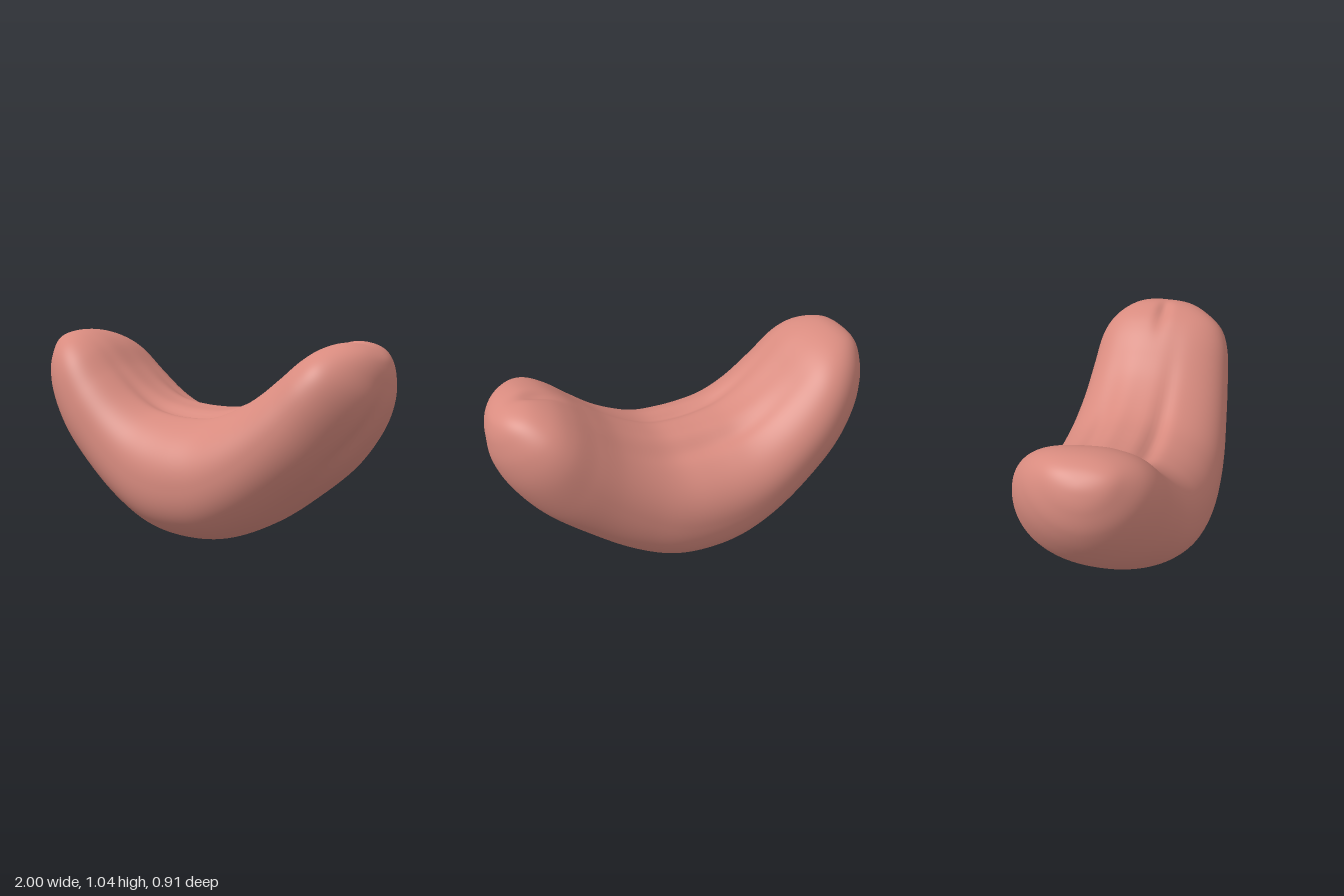
import * as THREE from 'three';
import { mergeVertices } from 'three/addons/utils/BufferGeometryUtils.js';

// Cross-sections from end to end: outer x, outer y, inner x, inner y, front width, back width
const STATIONS = [
  [-0.955, 0.992, -0.955, 0.992, 0, 0],
  [-0.985, 0.94, -0.9, 1.032, 0.11, 0.115],
  [-1.0, 0.86, -0.82, 1.047, 0.185, 0.205],
  [-0.99, 0.74, -0.72, 1.027, 0.265, 0.3],
  [-0.925, 0.595, -0.62, 0.972, 0.32, 0.375],
  [-0.8, 0.43, -0.5, 0.86, 0.355, 0.42],
  [-0.6, 0.255, -0.37, 0.757, 0.38, 0.44],
  [-0.4, 0.12, -0.25, 0.695, 0.405, 0.452],
  [-0.2, 0.03, -0.13, 0.67, 0.43, 0.455],
  [0, 0.002, 0, 0.662, 0.447, 0.45],
  [0.2, 0.022, 0.13, 0.672, 0.45, 0.435],
  [0.4, 0.11, 0.25, 0.715, 0.443, 0.41],
  [0.6, 0.25, 0.38, 0.787, 0.423, 0.385],
  [0.8, 0.42, 0.5, 0.88, 0.4, 0.365],
  [0.93, 0.595, 0.61, 0.97, 0.375, 0.342],
  [0.99, 0.74, 0.7, 1.022, 0.325, 0.29],
  [1.0, 0.86, 0.8, 1.046, 0.22, 0.205],
  [0.985, 0.94, 0.89, 1.03, 0.12, 0.115],
  [0.955, 0.988, 0.955, 0.988, 0, 0],
];

// Mirror a section through the tip so the ends close as smooth domes
const ghost = ([bx, by, tx, ty, f, b]) => [tx, ty, bx, by, -b, -f];

function sectionAt(u) {
  const last = STATIONS.length - 1;
  const i = Math.min(Math.floor(u), last - 1);
  const t = u - i;
  const p0 = i > 0 ? STATIONS[i - 1] : ghost(STATIONS[1]);
  const p1 = STATIONS[i];
  const p2 = STATIONS[i + 1];
  const p3 = i + 2 <= last ? STATIONS[i + 2] : ghost(STATIONS[last - 1]);
  return p1.map((v, k) => v + 0.5 * t * (p2[k] - p0[k]
    + t * (2 * p0[k] - 5 * v + 4 * p2[k] - p3[k]
    + t * (3 * (v - p2[k]) + p3[k] - p0[k]))));
}

const bump = (v, centre, width) => Math.exp(-(((v - centre) / width) ** 2));
const power = (v, e) => Math.sign(v) * Math.abs(v) ** e;

// Depth of the soft folds on the inner curve and on one outer end
function foldDepth(x, y, z, side) {
  if (side > 0) {
    const middle = bump(x, -0.03, 0.36);
    return side * (middle * (0.035 * bump(z, 0.115, 0.045) + 0.022 * bump(z, -0.2, 0.05))
      - middle * 0.01 * bump(z, -0.1, 0.05)
      + 0.028 * bump(x, 0.74, 0.1) * bump(z, 0.005, 0.035)
      + 0.014 * bump(x, -0.5, 0.2) * bump(z, -0.08, 0.14));
  }
  const path = 0.07 + 0.13 * Math.min(1, Math.max(0, (0.83 - y) / 0.33));
  return x > 0.3 ? -side * 0.024 * bump(y, 0.58, 0.24) * bump(z, path, 0.06) : 0;
}

function bodyGeometry(rings = 144, sides = 128) {
  const positions = [];
  const index = [];
  for (let r = 0; r <= rings; r++) {
    const [bx, by, tx, ty, front, back] = sectionAt((r / rings) * (STATIONS.length - 1));
    const cx = (bx + tx) / 2, cy = (by + ty) / 2;
    const hx = (tx - bx) / 2, hy = (ty - by) / 2;
    const half = Math.hypot(hx, hy) || 1;
    const endness = Math.min(1, (cx / 0.85) ** 2);
    for (let s = 0; s < sides; s++) {
      const a = (s / sides) * Math.PI * 2;
      const cos = Math.cos(a);
      // Full, flat belly in the middle; egg-shaped sections, narrow outside, at the ends
      const e = THREE.MathUtils.lerp(cos > 0 ? 0.92 : 0.82, 1, endness);
      const round = power(cos, e);
      const c = round + 0.22 * endness * (1 - round * round);
      const w = power(Math.sin(a), e);
      const z = w * (w > 0 ? front : back);
      const x = cx + hx * c, y = cy + hy * c;
      const d = foldDepth(x, y, z, c) * Math.sign(c) / half;
      positions.push(x - hx * d, y - hy * d, z);
      if (r < rings) {
        const n = (s + 1) % sides;
        const p = r * sides + s, q = r * sides + n;
        index.push(p, q, p + sides, q, q + sides, p + sides);
      }
    }
  }
  let geometry = new THREE.BufferGeometry();
  geometry.setAttribute('position', new THREE.Float32BufferAttribute(positions, 3));
  geometry.setIndex(index);
  geometry = mergeVertices(geometry, 1e-5);
  geometry.computeVertexNormals();
  return geometry;
}

export function createModel() {
  const group = new THREE.Group();
  group.name = 'curvedBean';
  const skin = new THREE.MeshStandardMaterial({ color: 0xd88b7f });
  skin.name = 'dusty pink';
  const body = new THREE.Mesh(bodyGeometry(), skin);
  body.name = 'body';
  group.add(body);
  return group;
}
